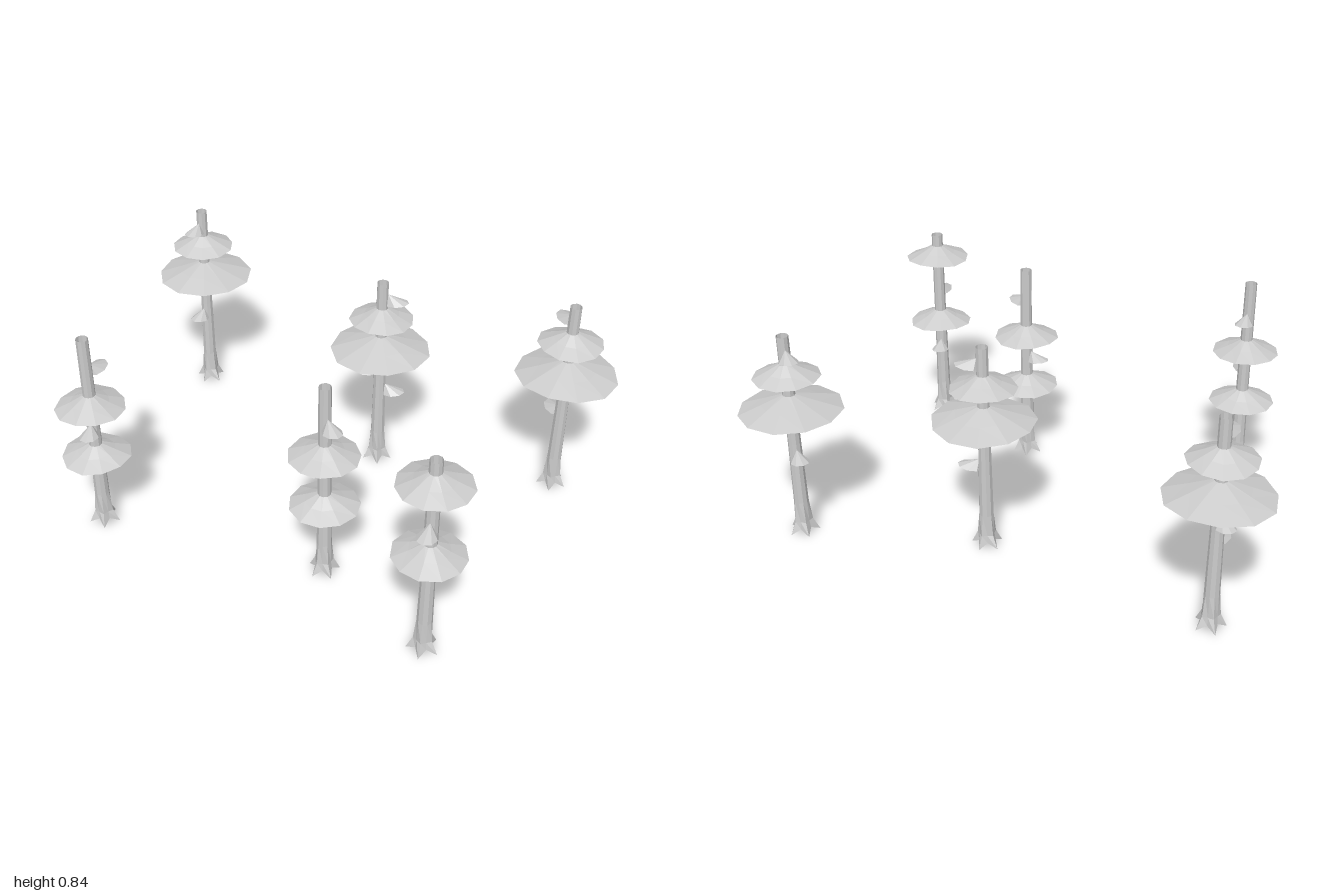
import * as THREE from 'three';

const material = new THREE.MeshStandardMaterial({ color: 0xcccccc, flatShading: true });
const openMaterial = new THREE.MeshStandardMaterial({ color: 0xcccccc, flatShading: true, side: THREE.DoubleSide });

function part(name, geometry, mat = material) {
  const mesh = new THREE.Mesh(geometry, mat);
  mesh.name = name;
  return mesh;
}

function lathe(points, sides) {
  return new THREE.LatheGeometry(points.map(([r, y]) => new THREE.Vector2(r, y)), sides);
}

// Hollow tapering trunk; every other bottom corner is drawn out into a root
function makeTrunk() {
  const sides = 10;
  const geometry = lathe([[0.06, 0.005], [0.036, 0.055], [0.028, 0.14], [0.0245, 0.4], [0.0225, 0.835]], sides);
  const pos = geometry.attributes.position;
  for (let i = 0; i < pos.count; i++) {
    if (pos.getY(i) > 0.08) continue;
    const corner = Math.round(Math.atan2(pos.getX(i), pos.getZ(i)) / (2 * Math.PI / sides));
    if (corner % 2 === 0) continue;
    const low = pos.getY(i) < 0.02;
    const k = low ? 0.55 : 0.8;
    pos.setXYZ(i, pos.getX(i) * k, low ? 0.025 : pos.getY(i), pos.getZ(i) * k);
  }
  return part('trunk', geometry, openMaterial);
}

// Wide foliage plate around the trunk with a slightly uneven rim
function makePlate(radius, y, seed) {
  const height = 0.035 + radius * 0.13;
  const geometry = lathe([
    [0.02, y - 0.006], [radius, y], [radius * 0.55, y + height * 0.5], [0.021, y + height],
  ], 11);
  const pos = geometry.attributes.position;
  for (let i = 0; i < pos.count; i++) {
    const x = pos.getX(i), z = pos.getZ(i);
    if (Math.hypot(x, z) < 0.03) continue;
    const a = Math.atan2(x, z);
    const k = 1 + 0.02 * Math.cos(3 * a + seed);
    pos.setXYZ(i, x * k, pos.getY(i) + 0.003 * Math.cos(2 * a + seed), z * k);
  }
  return part('foliagePlate', geometry);
}

// Small bracket of foliage on one side of the trunk, angle measured from +z
function makeBracket(y, degrees) {
  const geometry = new THREE.ConeGeometry(1, 1, 8);
  const pos = geometry.attributes.position;
  for (let i = 0; i < pos.count; i++) {
    const x = pos.getX(i), z = pos.getZ(i), top = pos.getY(i) > 0;
    if (top) pos.setXYZ(i, 0, 0.025, 0.022);
    else pos.setXYZ(i, x * 0.036, z * 0.008 - 0.008, 0.058 + z * 0.046);
  }
  const mesh = part('foliageBracket', geometry);
  mesh.position.y = y;
  mesh.rotation.y = THREE.MathUtils.degToRad(degrees);
  return mesh;
}

const wide = { plates: [[0.195, 0.54], [0.125, 0.675]], brackets: [[0.763, 0], [0.455, -139], [0.35, 0]] };
const narrow = { plates: [[0.13, 0.325], [0.13, 0.545]], brackets: [[0.69, 0], [0.455, -155]] };
const tall = { plates: [[0.13, 0.44], [0.13, 0.735]], brackets: [[0.57, 0], [0.33, -170]] };

// x, z, lift, turn in degrees, kind
const trees = [
  [-0.805, -0.45, 0, 0, wide],
  [0.115, -0.313, 0, 101, wide],
  [0.805, -0.513, 0, -131, wide],
  [-0.608, 0.575, 0.014, 178, narrow],
  [0.26, 0.383, 0, 55, narrow],
  [0.752, 0.56, 0.014, 10, tall],
];

export function createModel() {
  const group = new THREE.Group();
  group.name = 'treeGrove';
  trees.forEach(([x, z, lift, turn, kind], i) => {
    const tree = new THREE.Group();
    tree.name = 'tree';
    tree.add(makeTrunk());
    kind.plates.forEach(([r, y], j) => tree.add(makePlate(r, y, i + j * 2)));
    kind.brackets.forEach(([y, angle]) => tree.add(makeBracket(y, angle)));
    tree.position.set(x, lift, z);
    tree.rotation.y = THREE.MathUtils.degToRad(turn);
    group.add(tree);
  });
  return group;
}
